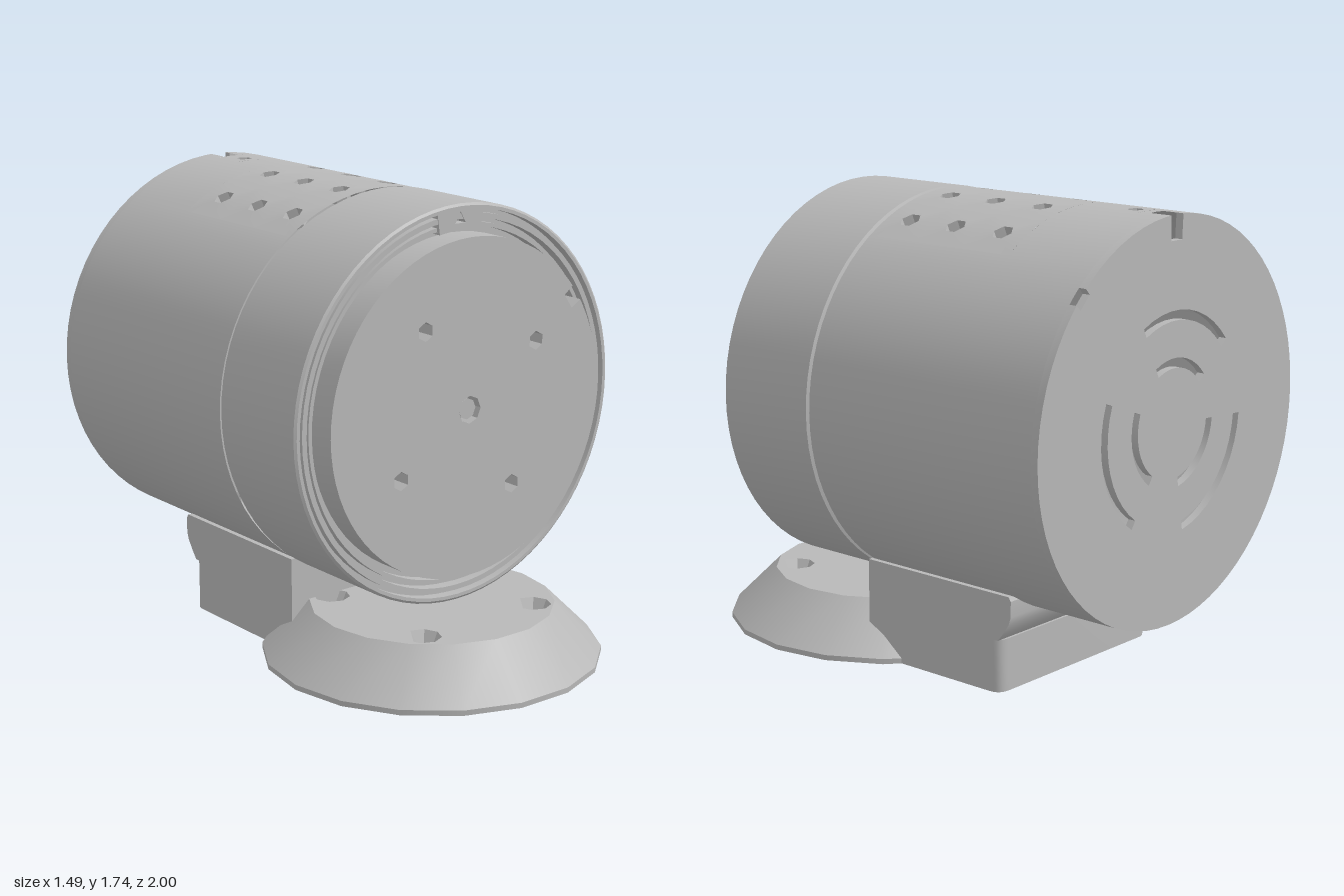
import * as THREE from 'three';
import { mergeGeometries, toCreasedNormals } from 'three/addons/utils/BufferGeometryUtils.js';

const RAD = Math.PI / 180;
const R = 0.745, AXIS_Y = 0.99;

const V2 = (x, y) => new THREE.Vector2(x, y);
// angle in degrees, clockwise from the top
const polar = (r, deg) => V2(r * Math.sin(deg * RAD), r * Math.cos(deg * RAD));

function hole(x, y, r, n = 6) {
  return new THREE.Path(Array.from({ length: n }, (_, i) =>
    V2(x + r * Math.sin(i / n * 2 * Math.PI), y + r * Math.cos(i / n * 2 * Math.PI))));
}

// curved band between two radii and two angles
function bandPoints(r0, r1, a0, a1, n = 10) {
  const pts = [];
  for (let i = 0; i <= n; i++) pts.push(polar(r1, a0 + (a1 - a0) * i / n));
  for (let i = n; i >= 0; i--) pts.push(polar(r0, a0 + (a1 - a0) * i / n));
  return pts;
}

// disc outline with rectangular notches [angle, half width, depth]
function notchedDisc(r, notches) {
  const pts = [];
  for (let a = -20; a < 340; a += 5) {
    const n = notches.find(([na, hw]) => Math.abs(a - na) <= hw / r / RAD + 1);
    if (!n) { pts.push(polar(r, a)); continue; }
    const [na, hw, depth] = n, d = hw / r / RAD;
    if (Math.abs(a - na) > 2.5) continue;
    pts.push(polar(r, na - d), polar(r - depth, na - d), polar(r - depth, na + d), polar(r, na + d));
  }
  return new THREE.Shape(pts);
}

function extrude(shape, depth) {
  return new THREE.ExtrudeGeometry(shape, { depth, bevelEnabled: false, curveSegments: 6 });
}

// surface from a rule f(i, j) -> [x, y, z]
function grid(nu, nv, f) {
  const pos = [], idx = [];
  for (let i = 0; i <= nu; i++) for (let j = 0; j <= nv; j++) pos.push(...f(i, j));
  for (let i = 0; i < nu; i++) for (let j = 0; j < nv; j++) {
    const a = i * (nv + 1) + j, b = a + nv + 1;
    idx.push(a, b, b + 1, a, b + 1, a + 1);
  }
  const g = new THREE.BufferGeometry();
  g.setAttribute('position', new THREE.Float32BufferAttribute(pos, 3));
  g.setIndex(idx);
  return g;
}

const onBarrel = (deg, z, r = R) => { const p = polar(r, deg); return [p.x, p.y, z]; };

// plain patch of the barrel wall
function wall(t0, t1, z0, z1) {
  const n = Math.ceil((t1 - t0) / 5);
  return grid(1, n, (i, j) => onBarrel(t0 + (t1 - t0) * j / n, i ? z1 : z0));
}

// patch of the barrel wall pierced by a hexagonal hole
function piercedWall(t0, t1, z0, z1, hr) {
  const tc = (t0 + t1) / 2, zc = (z0 + z1) / 2, N = 24;
  return grid(2, N, (i, j) => {
    const a = j / N * 2 * Math.PI, c = Math.cos(a), s = Math.sin(a);
    if (i === 2) {
      const m = Math.max(Math.abs(c), Math.abs(s));
      return onBarrel(tc + s / m * (t1 - t0) / 2, zc + c / m * (z1 - z0) / 2);
    }
    const k = hr * Math.cos(Math.PI / 6) / Math.cos((j % 4) / 4 * Math.PI / 3 - Math.PI / 6);
    return onBarrel(tc + s * k / R / RAD, zc + c * k, i ? R : R - 0.05);
  });
}

export function createModel() {
  const grey = new THREE.MeshStandardMaterial({ color: 0xb8b8b8, side: THREE.DoubleSide });
  grey.name = 'plain grey';
  const model = new THREE.Group();
  model.name = 'housingOnStand';
  const add = (parent, name, geo, x = 0, y = 0, z = 0) => {
    const mesh = new THREE.Mesh(toCreasedNormals(geo, 0.5), grey);
    mesh.name = name;
    mesh.position.set(x, y, z);
    parent.add(mesh);
    return mesh;
  };

  const barrel = new THREE.Group();
  barrel.name = 'barrel';
  barrel.position.y = AXIS_Y;
  model.add(barrel);

  // barrel wall with vent holes, a rear notch and small screw holes
  const patches = [
    wall(35, 325, -0.6, 0.06),
    wall(5, 175, -0.97, -0.6), wall(185, 355, -0.97, -0.6),
    wall(-5, 5, -0.77, -0.6), wall(175, 185, -0.77, -0.6),
    piercedWall(-5, 5, -0.87, -0.77, 0.03), wall(-5, 5, -0.91, -0.87),
    wall(-5, -2.7, -0.97, -0.91), wall(2.7, 5, -0.97, -0.91),
    piercedWall(175, 185, -0.86, -0.77, 0.028), piercedWall(175, 185, -0.97, -0.86, 0.035),
  ];
  for (let c = -2; c < 2; c++) for (let r = 0; r < 3; r++)
    patches.push(piercedWall(c * 17.5, (c + 1) * 17.5, -0.6 + r * 0.22, -0.38 + r * 0.22, 0.04));
  add(barrel, 'barrelWall', mergeGeometries(patches));

  // rear plate with two rings of curved slots
  const rear = notchedDisc(R, [[0, 0.035, 0.09], [45, 0.035, 0.03]]);
  for (const mid of [-12, 108, 228]) for (const r of [0.22, 0.39])
    rear.holes.push(new THREE.Path(bandPoints(r - 0.018, r + 0.018, mid - 38, mid + 38)));
  add(barrel, 'rearPlate', extrude(rear, 0.03), 0, 0, -1);

  // front collar with concentric grooves
  const profile = [[0.735, 0.055], [0.735, 0.075], [0.747, 0.08], [0.747, 0.505], [0.738, 0.512],
    [0.725, 0.512], [0.725, 0.47], [0.71, 0.47], [0.71, 0.505], [0.69, 0.505], [0.69, 0.46],
    [0.675, 0.46], [0.675, 0.495], [0.66, 0.495], [0.66, 0.45], [0.001, 0.45]];
  add(barrel, 'frontCollar',
    new THREE.LatheGeometry(profile.map(([x, y]) => V2(x, y)), 72).rotateX(Math.PI / 2));

  // bridge across the grooves at the top
  const bridge = new THREE.Shape(bandPoints(0.65, 0.727, -8.5, 8.5));
  bridge.holes.push(hole(0, 0.69, 0.028, 3));
  add(barrel, 'grooveBridge', extrude(bridge, 0.058), 0, 0, 0.45);

  // front disc with five holes and a shaft end
  const face = notchedDisc(0.635, [[55, 0.035, 0.05]]);
  face.holes.push(hole(0, 0, 0.052, 8));
  for (const [x, y] of [[-0.21, 0.32], [0.32, 0.21], [0.21, -0.32], [-0.32, -0.21]])
    face.holes.push(hole(x, y, 0.036));
  add(barrel, 'frontDisc', extrude(face, 0.115), 0, 0, 0.455);
  add(barrel, 'shaftEnd',
    new THREE.CylinderGeometry(0.04, 0.04, 0.1, 8).rotateX(Math.PI / 2), 0, 0, 0.505);

  // round foot: lip, sloping side, pierced top and bottom
  const foot = new THREE.Group();
  foot.name = 'roundFoot';
  foot.position.z = 0.365;
  model.add(foot);
  const SIDES = 18, turn = Math.PI / SIDES;
  const ring = (r) => new THREE.Shape(Array.from({ length: SIDES }, (_, i) =>
    V2(r * Math.sin(turn + i * 2 * turn), r * Math.cos(turn + i * 2 * turn))));
  add(foot, 'footLip', new THREE.CylinderGeometry(0.645, 0.645, 0.02, SIDES, 1, true, turn), 0, 0.01);
  add(foot, 'footSlope', new THREE.CylinderGeometry(0.465, 0.645, 0.18, SIDES, 1, true, turn), 0, 0.11);
  const top = ring(0.465), bottom = ring(0.645);
  for (const x of [-0.27, 0.27]) for (const z of [-0.27, 0.27]) {
    top.holes.push(hole(x, -z, 0.07, 8));
    bottom.holes.push(hole(x, -z, 0.032, 8));
    // countersunk screw hole
    add(foot, 'screwHole', new THREE.CylinderGeometry(0.07, 0.032, 0.08, 8, 1, true), x, 0.16, z);
    add(foot, 'screwHole', new THREE.CylinderGeometry(0.032, 0.032, 0.12, 8, 1, true), x, 0.06, z);
  }
  for (const x of [-0.31, 0.31]) bottom.holes.push(hole(x, 0.385, 0.06));
  add(foot, 'footTop', new THREE.ShapeGeometry(top).rotateX(-Math.PI / 2), 0, 0.2);
  add(foot, 'footBottom', new THREE.ShapeGeometry(bottom).rotateX(Math.PI / 2).scale(1, 1, -1));

  // mounting block under the barrel, rounded at the rear corners
  const block = new THREE.Group();
  block.name = 'mountingBlock';
  model.add(block);
  const W = 0.44, c = 0.05;
  const plan = new THREE.Shape();
  plan.moveTo(-W, -0.07);
  plan.lineTo(W, -0.07);
  plan.lineTo(W, 0.58 - c);
  plan.quadraticCurveTo(W, 0.58, W - c, 0.58);
  plan.lineTo(-W + c, 0.58);
  plan.quadraticCurveTo(-W, 0.58, -W, 0.58 - c);
  plan.closePath();
  for (const x of [-0.31, 0.31]) for (const y of [0.02, 0.43]) plan.holes.push(hole(x, y, 0.06));
  add(block, 'blockBase', extrude(plan, 0.2).rotateX(-Math.PI / 2));

  // upper block with a flared rear edge
  const flare = new THREE.Shape([V2(-0.07, 0.2), V2(0.57, 0.2), V2(0.59, 0.225),
    V2(0.62, 0.27), V2(0.63, 0.3), V2(0.63, 0.36), V2(0.62, 0.375), V2(-0.07, 0.375)]);
  add(block, 'blockSaddle',
    extrude(flare, 2 * W).translate(0, 0, -W).rotateY(Math.PI / 2));

  return model;
}
